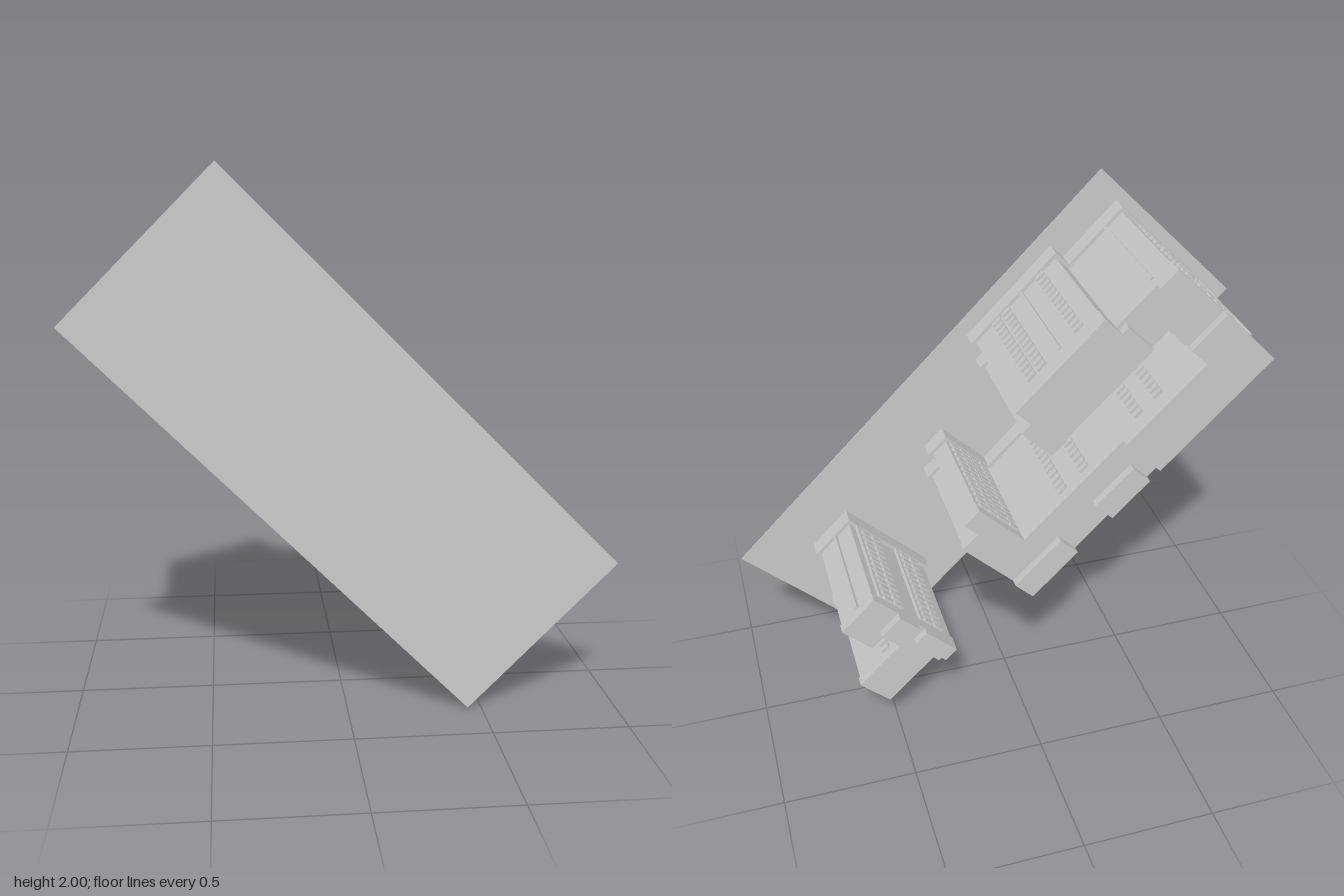
import * as THREE from 'three';

const BACK = 0.29;        // plane of the ground plate; storeys rise towards -z
const BASE = 0.07, EAVES = 0.51, ROOF = 0.55, TOP = 0.58;

export function createModel() {
  const model = new THREE.Group();
  model.name = 'buildingComplex';
  const stone = new THREE.MeshStandardMaterial({ color: 0xcccccc });
  stone.name = 'pale grey';

  // Site frame: u along the plate, v across it, h rising from it
  const site = new THREE.Group();
  site.name = 'site';
  site.rotation.z = -Math.PI / 4;
  site.position.y = 1;
  model.add(site);

  const block = (parent, name, u0, u1, v0, v1, h0, h1) => {
    const mesh = new THREE.Mesh(new THREE.BoxGeometry(u1 - u0, v1 - v0, h1 - h0), stone);
    mesh.position.set((u0 + u1) / 2, (v0 + v1) / 2, BACK - (h0 + h1) / 2);
    mesh.name = name;
    parent.add(mesh);
  };

  // Wing: wider plinth, body and parapet
  const wing = (name, u0, u1, v0, v1, top = ROOF) => {
    const g = new THREE.Group();
    g.name = name;
    const m = 0.01, i = 0.004;
    block(g, 'plinth', u0 - m, u1 + m, v0 - m, v1 + m, 0, BASE);
    block(g, 'body', u0 + i, u1 - i, v0 + i, v1 - i, BASE, EAVES);
    block(g, 'parapet', u0, u1, v0, v1, EAVES, top);
    site.add(g);
  };
  const roofBox = (name, u0, u1, v0, v1) => block(site, name, u0, u1, v0, v1, EAVES, TOP);

  block(site, 'groundPlate', -1.025, 1.025, -0.389, 0.389, 0, 0.004);

  // Large courtyard building
  wing('endWing', -0.97, -0.8, -0.318, 0.247);
  wing('sideWing', -0.82, -0.255, 0.08, 0.247);
  wing('sideWingEnd', -0.27, -0.2, 0.06, 0.22);
  wing('sideProjection', -0.69, -0.255, 0.22, 0.32, TOP);
  wing('spine', -0.82, 0.14, -0.318, -0.12);
  wing('crossWing', 0.12, 0.28, -0.318, 0.05);
  wing('crossProjection', 0.12, 0.2, 0.03, 0.12);
  roofBox('endRoofBox', -0.97, -0.884, 0.02, 0.247);
  roofBox('endRoofBox', -0.97, -0.8, -0.318, -0.03);
  roofBox('sideRoofBox', -0.72, -0.255, 0.09, 0.23);
  roofBox('spineRoofBox', -0.8, -0.4, -0.318, -0.12);
  roofBox('spineRoofBox', -0.347, -0.15, -0.318, -0.22);
  roofBox('crossRoofBox', 0.035, 0.28, -0.318, -0.22);

  // Separate small building with two arms
  wing('smallCore', 0.628, 0.72, -0.24, 0.18);
  wing('shortArm', 0.628, 0.806, 0.03, 0.18);
  wing('longArm', 0.64, 0.97, -0.21, -0.055);
  roofBox('smallRoofBox', 0.628, 0.69, -0.24, -0.08);
  roofBox('smallRoofBox', 0.628, 0.73, -0.045, 0.058);

  // Facade: columns of window bays and full-height fins on one wall
  const ROWS = 13, PITCH = 0.034;
  const facade = (name, axis, side, at, bays, fins) => {
    const g = new THREE.Group();
    g.name = name;
    const a = side > 0 ? at - 0.006 : at - 0.008, b = a + 0.014;
    const put = (part, c, half, h0, h1) => {
      if (axis === 'u') block(g, part, a, b, c - half, c + half, h0, h1);
      else block(g, part, c - half, c + half, a, b, h0, h1);
    };
    for (const c of bays) {
      for (let r = 0; r < ROWS; r++) {
        const h = BASE + 0.008 + r * PITCH;
        put('windowBay', c, 0.02, h, h + 0.019);
      }
    }
    for (const c of fins) put('fin', c, 0.006, BASE, EAVES);
    site.add(g);
  };

  facade('endFacade', 'u', -1, -0.97, [-0.105, -0.034, 0.065, 0.136], [0.02, -0.22]);
  facade('endSideFacade', 'v', 1, 0.247, [], [-0.884]);
  facade('projectionFacade', 'v', 1, 0.32, [-0.6, -0.42, -0.37], [-0.507]);
  facade('sideWingEndFacade', 'u', 1, -0.2, [0.105], [0.15]);
  facade('courtEndFacade', 'u', 1, -0.8, [-0.085, -0.03, 0.045], [0.005]);
  facade('courtSpineFacade', 'v', 1, -0.12, [-0.6, -0.5, -0.22, -0.106], []);
  facade('crossInnerFacade', 'u', -1, 0.12, [-0.08, -0.03, 0.03, 0.08], [0]);
  facade('crossOuterFacade', 'u', 1, 0.28, [-0.25, -0.18, -0.045], [-0.11]);
  facade('spineOuterFacade', 'v', -1, -0.318, [-0.85, -0.6, -0.5, -0.2, -0.1, 0.15], [-0.55, -0.15]);
  facade('smallFrontFacade', 'u', -1, 0.628, [-0.165, -0.112, 0.044, 0.098], [-0.07, 0.14]);
  facade('shortArmEnd', 'u', 1, 0.806, [0.09], []);
  facade('shortArmSide', 'v', 1, 0.18, [], [0.71]);
  facade('longArmSide', 'v', 1, -0.055, [0.81], []);
  facade('longArmEnd', 'u', 1, 0.97, [], [-0.12]);
  facade('longArmOuter', 'v', -1, -0.21, [0.78, 0.88], [0.83]);

  return model;
}
